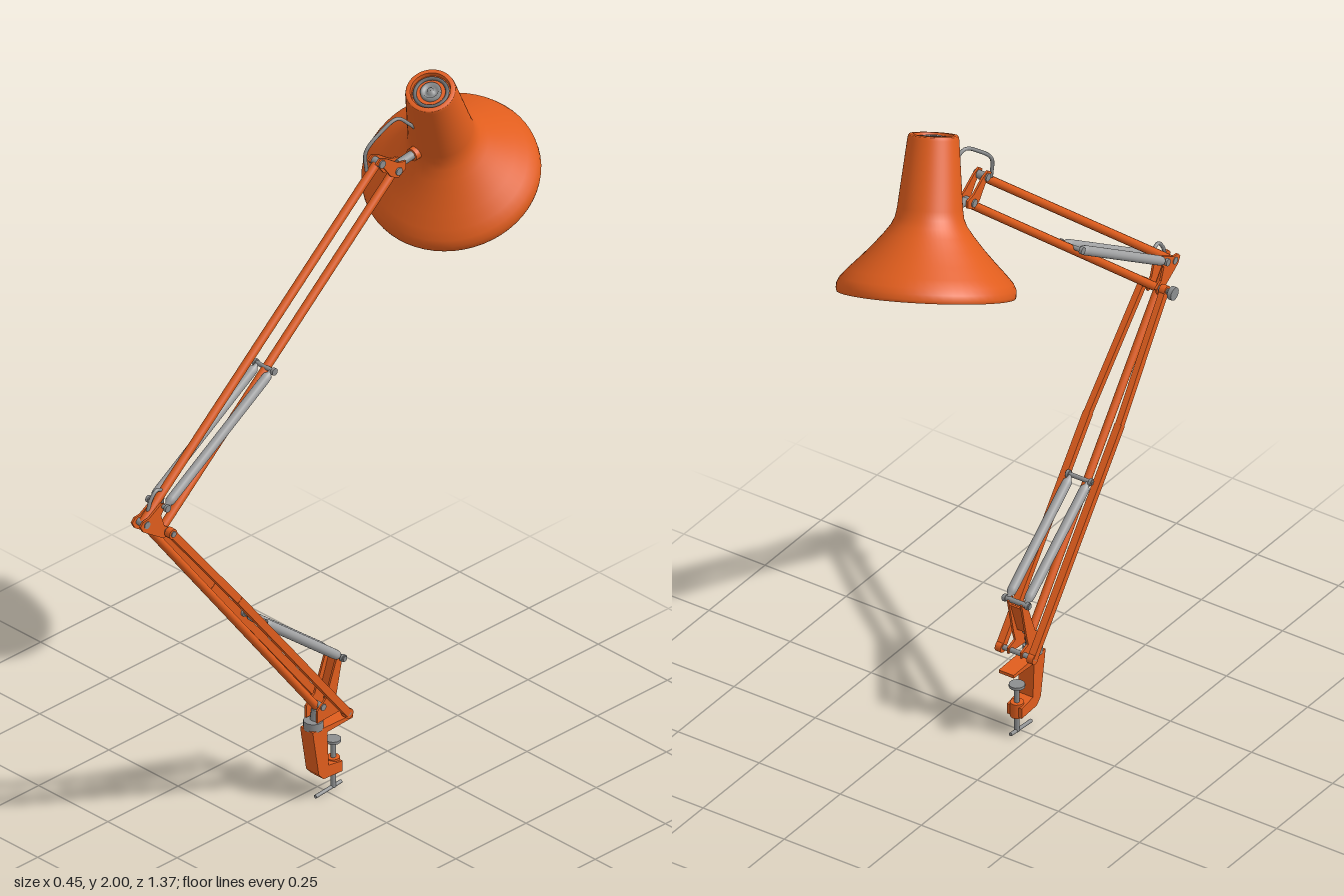
import * as THREE from 'three';

const mat = (name, color) => {
  const m = new THREE.MeshStandardMaterial({ color });
  m.name = name;
  return m;
};
const V = (x, y, z) => new THREE.Vector3(x, y, z);
const UP = V(0, 1, 0);
const CX = 0.038; // plane of the arms

export function createModel() {
  const orange = mat('orangeEnamel', 0xe05d1d);
  const steel = mat('steel', 0x8c8e8f);
  const dark = mat('darkSteel', 0x66696b);
  const spring = mat('springSteel', 0xa2a3a4);
  const lining = mat('shadeLining', 0xa2a2a2);
  const glass = mat('bulbGlass', 0xacacac);
  const model = new THREE.Group();

  const add = (name, geo, m, parent = model) => {
    const mesh = new THREE.Mesh(geo, m);
    mesh.name = name;
    parent.add(mesh);
    return mesh;
  };
  // geometry standing on y, laid between two points
  const span = (name, geo, a, b, m) => {
    const mesh = add(name, geo, m);
    mesh.position.copy(a).add(b).multiplyScalar(0.5);
    mesh.quaternion.setFromUnitVectors(UP, b.clone().sub(a).normalize());
    return mesh;
  };
  const rod = (name, a, b, r, m) =>
    span(name, new THREE.CylinderGeometry(r, r, a.distanceTo(b), 14), a, b, m);
  const strap = (name, a, b, w, t, m) =>
    span(name, new THREE.BoxGeometry(w, a.distanceTo(b), t), a, b, m);
  // pin running sideways through a joint
  const pin = (name, y, z, half, r, m) => rod(name, V(CX - half, y, z), V(CX + half, y, z), r, m);
  // plate drawn as [z, y] points, with its thickness along x
  const plate = (name, pts, t, x, m) => {
    const shape = new THREE.Shape(pts.map(p => new THREE.Vector2(p[0], p[1])));
    const geo = new THREE.ExtrudeGeometry(shape, { depth: t, bevelEnabled: false });
    geo.translate(0, 0, -t / 2).rotateY(-Math.PI / 2);
    add(name, geo, m).position.x = x;
  };
  const tube = (name, pts, r, m) =>
    add(name, new THREE.TubeGeometry(new THREE.CatmullRomCurve3(pts), 32, r, 8), m);

  // Desk clamp
  plate('clampBody', [[0.076, 0.218], [-0.066, 0.214], [-0.066, 0.205], [0.025, 0.2], [0.02, 0.1],
    [-0.03, 0.092], [-0.03, 0.062], [0.038, 0.066], [0.055, 0.085], [0.074, 0.2]], 0.046, CX, orange);
  rod('clampBoss', V(CX, 0.058, -0.018), V(CX, 0.1, -0.018), 0.018, orange);
  rod('clampScrew', V(CX, 0.01, -0.018), V(CX, 0.15, -0.018), 0.007, steel);
  rod('clampPad', V(CX, 0.146, -0.018), V(CX, 0.154, -0.018), 0.021, steel);
  rod('clampHandle', V(CX, 0.007, 0.045), V(CX, 0.015, -0.047), 0.005, steel);
  rod('swivelCollar', V(CX, 0.214, 0.052), V(CX, 0.238, 0.052), 0.026, steel);
  rod('swivelPost', V(CX, 0.235, 0.045), V(CX, 0.265, 0.04), 0.014, steel);

  // Base bracket holding the lower springs
  for (const s of [-1, 1]) {
    plate('baseBracketCheek', [[0.06, 0.24], [0.06, 0.275], [0.03, 0.3], [-0.012, 0.412], [-0.03, 0.405],
      [-0.008, 0.3], [0.0, 0.272], [-0.03, 0.262], [-0.03, 0.245], [0.02, 0.242]], 0.006, CX + s * 0.02, orange);
  }
  strap('baseBracketWeb', V(CX, 0.3, 0.01), V(CX, 0.39, -0.02), 0.04, 0.005, orange);
  pin('lowerSpringBar', 0.405, -0.02, 0.042, 0.007, steel);
  pin('basePivot', 0.252, -0.02, 0.058, 0.007, steel);
  pin('baseRodPivot', 0.28, 0.04, 0.026, 0.009, steel);

  // Lower arm: one central rod and a splayed pair
  rod('lowerArmRod', V(CX, 0.275, 0.043), V(CX, 1.08, 0.662), 0.011, orange);
  for (const s of [-1, 1]) {
    const a = V(CX + s * 0.049, 0.25, -0.02), b = V(CX + s * 0.049, 0.75, 0.37);
    const c = V(CX + s * 0.033, 1.032, 0.592);
    strap('lowerArmStrap', a, b, 0.02, 0.02, orange);
    strap('lowerArmStrap', b, c, 0.017, 0.02, orange);
    add('lowerArmStrapBend', new THREE.SphereGeometry(0.0098, 12, 8), orange).position.copy(b);
    for (const p of [a, c]) {
      rod('strapEye', V(p.x - 0.009, p.y, p.z), V(p.x + 0.009, p.y, p.z), 0.014, orange);
    }
  }

  // Smooth springs with hooked ends, paired beside each arm
  const springPair = (name, a, b, off) => {
    const h = a.distanceTo(b) / 2;
    const profile = [[0.005, -h], [0.006, -h + 0.01], [0.012, -h + 0.018], [0.013, -h + 0.03],
      [0.013, h - 0.03], [0.012, h - 0.018], [0.006, h - 0.01], [0.005, h]];
    const geo = new THREE.LatheGeometry(profile.map(p => new THREE.Vector2(p[0], p[1])), 18);
    for (const s of [-1, 1]) {
      const o = V(s * off, 0, 0);
      span(name, geo, a.clone().add(o), b.clone().add(o), spring);
      for (const p of [a, b]) {
        rod('springEndNut', V(p.x + s * (off + 0.004), p.y, p.z), V(p.x + s * (off + 0.012), p.y, p.z), 0.01, steel);
      }
    }
  };
  springPair('lowerSpring', V(CX, 0.405, -0.02), V(CX, 0.628, 0.262), 0.027);
  springPair('upperSpring', V(CX, 1.11, 0.605), V(CX, 1.355, 0.225), 0.025);
  pin('lowerSpringTopBar', 0.628, 0.262, 0.042, 0.006, steel);
  pin('upperSpringTopBar', 1.355, 0.225, 0.037, 0.006, steel);
  pin('upperSpringBar', 1.11, 0.605, 0.037, 0.006, steel);

  // Elbow
  for (const s of [-1, 1]) {
    plate('elbowCheek', [[0.685, 1.08], [0.675, 1.092], [0.655, 1.094], [0.61, 1.12], [0.595, 1.112], [0.612, 1.085],
      [0.6, 1.05], [0.578, 1.035], [0.585, 1.016], [0.605, 1.016], [0.675, 1.062]], 0.006, CX + s * 0.015, orange);
  }
  pin('elbowPivot', 1.078, 0.662, 0.02, 0.01, steel);
  pin('elbowLowerPivot', 1.032, 0.592, 0.045, 0.008, steel);
  rod('elbowKnobStem', V(CX - 0.04, 1.032, 0.592), V(-0.02, 1.032, 0.592), 0.006, steel);
  rod('elbowKnob', V(-0.027, 1.032, 0.592), V(-0.015, 1.032, 0.592), 0.018, steel);
  tube('elbowCable', [V(CX, 1.09, 0.645), V(CX, 1.13, 0.632), V(CX, 1.152, 0.61), V(CX, 1.14, 0.59),
    V(CX, 1.105, 0.592)], 0.005, steel);

  // Upper arm: two parallel rods
  rod('upperArmTopRod', V(CX, 1.078, 0.66), V(CX, 1.79, -0.175), 0.0115, orange);
  rod('upperArmBottomRod', V(CX, 1.032, 0.592), V(CX, 1.745, -0.24), 0.0115, orange);

  // Head bracket
  for (const s of [-1, 1]) {
    plate('headBracketCheek', [[-0.155, 1.798], [-0.17, 1.81], [-0.192, 1.802], [-0.235, 1.772], [-0.262, 1.766],
      [-0.262, 1.745], [-0.235, 1.728], [-0.21, 1.74], [-0.185, 1.775]], 0.006, CX + s * 0.014, orange);
  }
  pin('headUpperPivot', 1.793, -0.175, 0.021, 0.011, steel);
  pin('headLowerPivot', 1.747, -0.235, 0.021, 0.011, steel);
  rod('headNeck', V(CX, 1.755, -0.25), V(CX, 1.765, -0.33), 0.012, steel);
  rod('headNeckCollar', V(CX, 1.761, -0.298), V(CX, 1.765, -0.335), 0.018, orange);
  tube('headCable', [V(CX - 0.008, 1.775, -0.145), V(CX - 0.01, 1.83, -0.145), V(CX, 1.875, -0.19),
    V(CX + 0.012, 1.9, -0.235), V(CX + 0.02, 1.875, -0.268), V(CX + 0.025, 1.82, -0.32)], 0.005, steel);

  // Shade, built upright from its rim and then tilted
  const shade = new THREE.Group();
  shade.name = 'shade';
  shade.position.set(0, 1.61, -0.479);
  shade.quaternion.setFromUnitVectors(UP, V(0.094, 0.364, 0.17).normalize());
  model.add(shade);
  const lathe = (name, pts, m) =>
    add(name, new THREE.LatheGeometry(pts.map(p => new THREE.Vector2(p[0], p[1])), 56), m, shade);
  lathe('shadeShell', [[0.225, 0.001], [0.228, 0], [0.23, 0.008], [0.229, 0.022], [0.221, 0.038], [0.202, 0.059],
    [0.173, 0.088], [0.142, 0.121], [0.115, 0.153], [0.097, 0.177], [0.088, 0.197], [0.084, 0.22],
    [0.066, 0.398], [0.064, 0.406]], orange);
  lathe('shadeTopRim', [[0.064, 0.406], [0.062, 0.409], [0.052, 0.409]], orange);
  lathe('shadeTopWell', [[0.052, 0.409], [0.05, 0.396]], orange);
  lathe('shadeTopFloor', [[0.05, 0.397], [0, 0.397]], orange);
  const ring = add('shadeTopRing', new THREE.TorusGeometry(0.042, 0.005, 8, 40), dark, shade);
  ring.rotation.x = Math.PI / 2;
  ring.position.y = 0.398;
  lathe('socketCap', [[0.027, 0.396], [0.027, 0.405], [0.02, 0.407], [0.017, 0.401], [0.01, 0.401],
    [0.009, 0.408], [0, 0.408]], steel);
  lathe('shadeInside', [[0.07, 0.26], [0.08, 0.21], [0.09, 0.178], [0.108, 0.15], [0.136, 0.116],
    [0.168, 0.082], [0.197, 0.053], [0.215, 0.034], [0.223, 0.02], [0.225, 0.001]], lining);
  lathe('shadeInsideTop', [[0, 0.26], [0.07, 0.26]], lining);
  add('bulb', new THREE.SphereGeometry(0.067, 32, 20), glass, shade).position.y = 0.132;
  lathe('bulbNeck', [[0.05, 0.165], [0.032, 0.2], [0.028, 0.26]], glass);

  return model;
}
